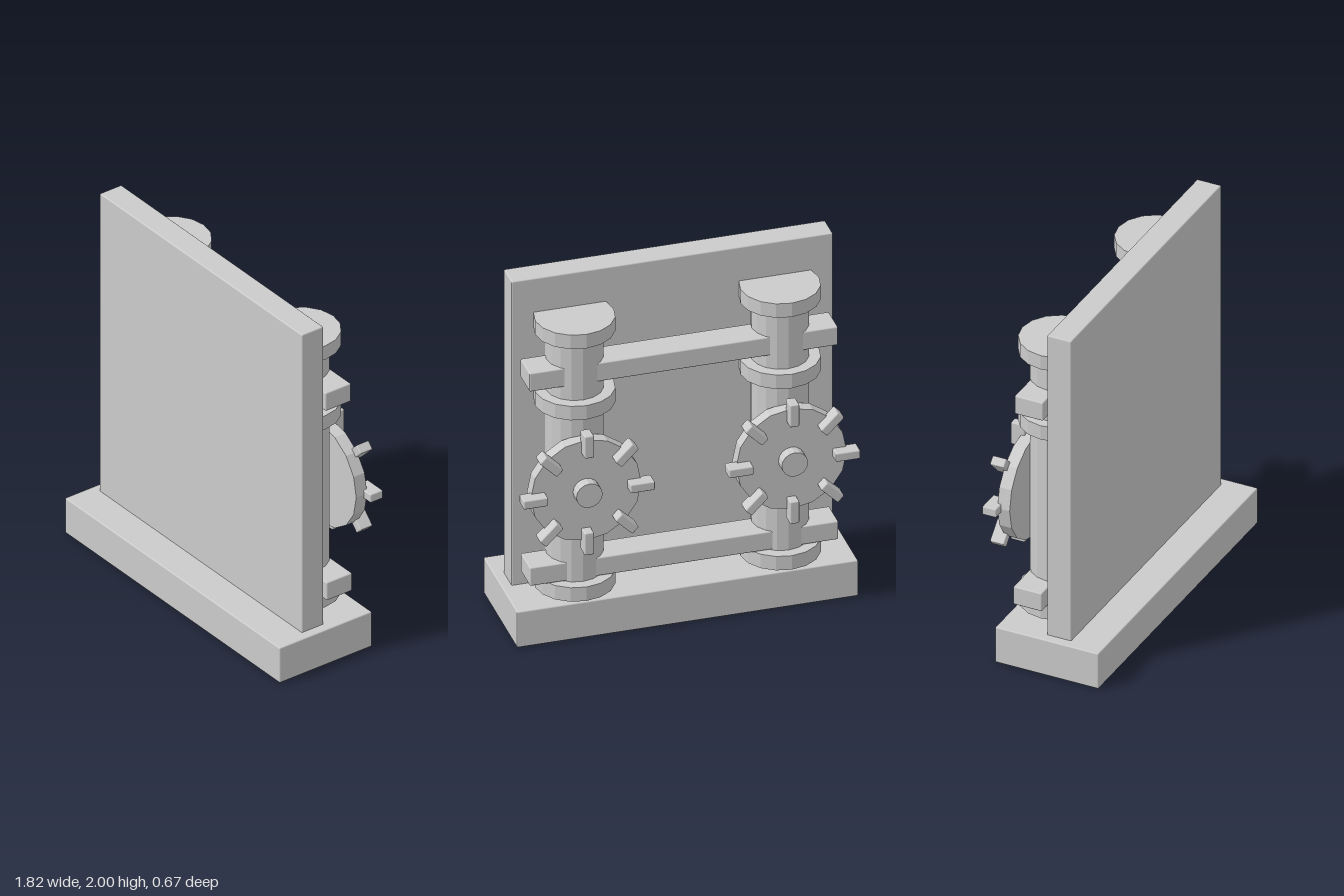
import * as THREE from 'three';
import { RoundedBoxGeometry } from 'three/addons/geometries/RoundedBoxGeometry.js';

const boxMaterial = new THREE.MeshStandardMaterial({ color: 0xcccccc });
const facetMaterial = new THREE.MeshStandardMaterial({ color: 0xcccccc, flatShading: true });

// Softly bevelled box given by its minimum and maximum corners
function block(name, min, max) {
  const size = max.map((v, i) => v - min[i]);
  const mesh = new THREE.Mesh(new RoundedBoxGeometry(...size, 2, 0.007), boxMaterial);
  mesh.name = name;
  mesh.position.set(...min.map((v, i) => v + size[i] / 2));
  return mesh;
}

// Faceted upright cylinder between two heights
function drum(name, radius, y0, y1) {
  const mesh = new THREE.Mesh(new THREE.CylinderGeometry(radius, radius, y1 - y0, 16), facetMaterial);
  mesh.name = name;
  mesh.position.y = (y0 + y1) / 2;
  return mesh;
}

// Column with three flange rings, sunk partly into the panel
function createColumn() {
  const column = new THREE.Group();
  column.name = 'column';
  column.add(drum('shaft', 0.15, 0.2, 1.79));
  for (const y of [0.23, 1.3, 1.72]) column.add(drum('flange', 0.21, y, y + 0.082));
  return column;
}

// Toothed wheel, axis along y, outer face towards +y
function createWheel() {
  const wheel = new THREE.Group();
  wheel.name = 'toothedWheel';
  wheel.add(drum('disc', 0.295, 0, 0.07), drum('hub', 0.07, 0.05, 0.13));
  for (let i = 0; i < 8; i++) {
    const arm = new THREE.Group();
    arm.name = 'toothArm';
    arm.add(block('tooth', [0.22, 0.05, -0.025], [0.35, 0.13, 0.025]));
    arm.rotation.y = (i * Math.PI) / 4;
    wheel.add(arm);
  }
  return wheel;
}

export function createModel() {
  const model = new THREE.Group();
  model.name = 'gate';

  // Base and upright panel
  model.add(block('base', [-0.91, 0, -0.255], [0.91, 0.21, 0.335]));
  model.add(block('panel', [-0.857, 0.2, 0.015], [0.857, 2, 0.153]));

  // Cross beams running through the columns
  model.add(block('upperBeam', [-0.823, 1.457, -0.188], [0.823, 1.565, -0.025]));
  model.add(block('lowerBeam', [-0.823, 0.315, -0.195], [0.823, 0.422, -0.032]));

  // Mirrored columns and wheels on the back
  for (const side of [-1, 1]) {
    const column = createColumn();
    column.position.set(side * 0.548, 0, -0.07);
    const wheel = createWheel();
    wheel.rotation.x = -Math.PI / 2;
    wheel.position.set(side * 0.548, 0.88, -0.205);
    model.add(column, wheel);
  }
  return model;
}
